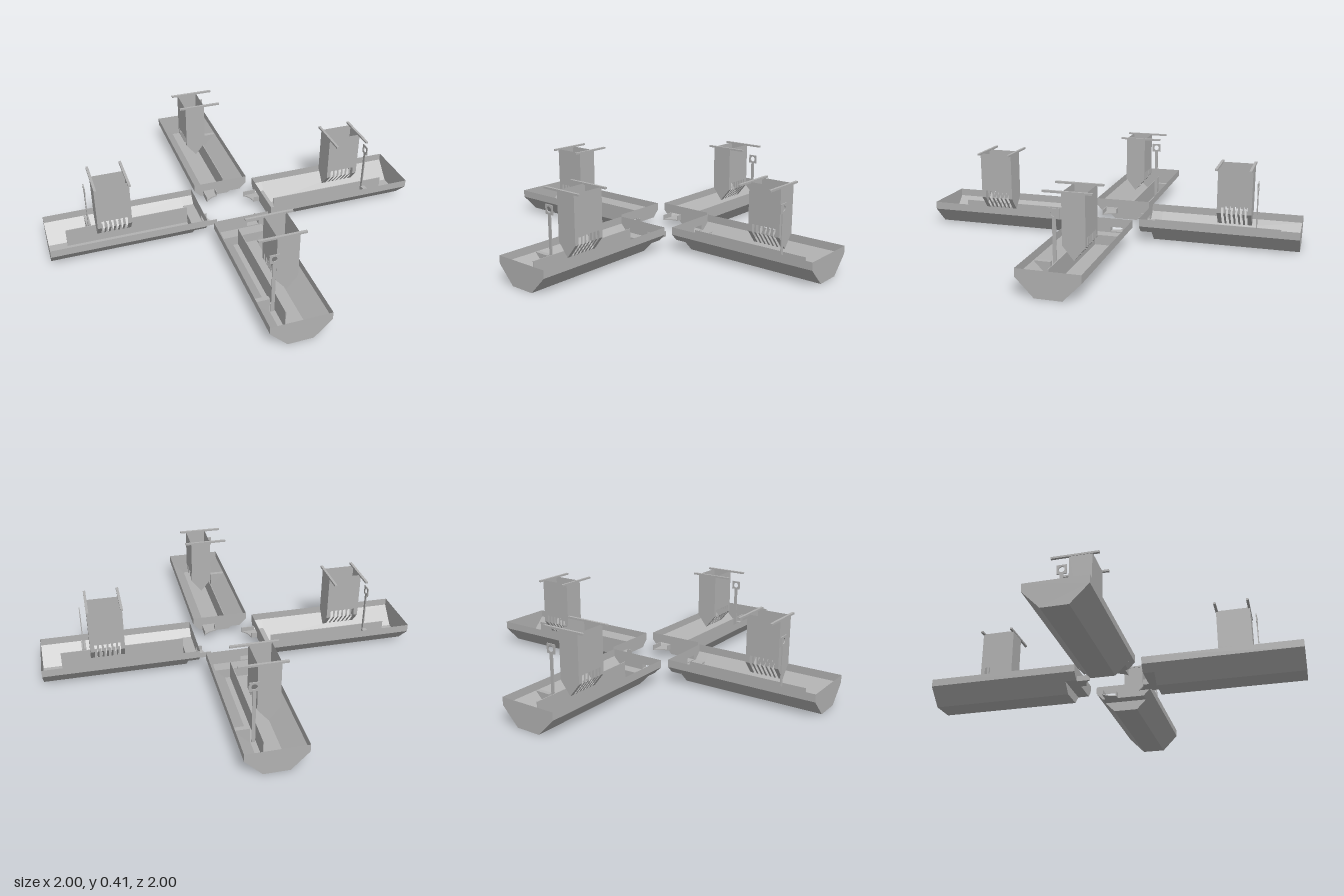
import * as THREE from 'three';

const steel = new THREE.MeshStandardMaterial({ color: 0xb2b2b2, side: THREE.DoubleSide });
steel.name = 'grey steel';

function add(parent, geometry, name, x = 0, y = 0, z = 0) {
  const mesh = new THREE.Mesh(geometry, steel);
  mesh.name = name;
  mesh.position.set(x, y, z);
  parent.add(mesh);
  return mesh;
}

// Folded sheet: an open x-y profile swept from z0 to z1
function sheet(profile, z0, z1) {
  const p = [];
  for (let i = 0; i < profile.length - 1; i++) {
    const [ax, ay] = profile[i], [bx, by] = profile[i + 1];
    p.push(ax, ay, z0, bx, by, z0, bx, by, z1, ax, ay, z0, bx, by, z1, ax, ay, z1);
  }
  const g = new THREE.BufferGeometry();
  g.setAttribute('position', new THREE.Float32BufferAttribute(p, 3));
  g.computeVertexNormals();
  return g;
}

function outline(points) {
  return new THREE.Shape(points.map(([x, y]) => new THREE.Vector2(x, y)));
}
const plate = (points) => new THREE.ShapeGeometry(outline(points));

const HULL = [[-0.153, 0.13], [-0.153, 0.09], [-0.065, 0], [0.065, 0], [0.153, 0.09], [0.153, 0.13]];
const RAISED = [[-0.153, 0.13], [-0.153, 0.09], [-0.117, 0.053], [0.117, 0.053], [0.153, 0.09], [0.153, 0.13]];

function trough() {
  const g = new THREE.Group();
  g.name = 'trough';
  add(g, sheet(HULL, 0.24, 1), 'hull');
  add(g, sheet(RAISED, 0.18, 0.24), 'raisedInnerFloor');
  add(g, plate(HULL), 'outerEndWall', 0, 0, 1);
  add(g, plate([[-0.117, 0.053], [-0.065, 0], [0.065, 0], [0.117, 0.053]]), 'floorStep', 0, 0, 0.24);

  // Inner end wall with an outlet opening
  const end = outline(RAISED);
  end.holes.push(new THREE.Path([[0.032, 0.057], [0.1, 0.057], [0.1, 0.083], [0.032, 0.083]]
    .map(([x, y]) => new THREE.Vector2(x, y))));
  add(g, new THREE.ShapeGeometry(end), 'innerEndWall', 0, 0, 0.18);

  // Long divider and the small gusset beside the marker
  add(g, new THREE.BoxGeometry(0.004, 0.1, 0.66), 'divider', -0.036, 0.05, 0.57);
  const gusset = new THREE.ExtrudeGeometry(
    outline([[-0.152, 0.09], [-0.07, 0.006], [-0.07, 0.09]]), { depth: 0.024, bevelEnabled: false });
  add(g, gusset, 'gusset', 0, 0, 0.762);
  return g;
}

function spout() {
  const g = new THREE.Group();
  g.name = 'spout';
  // Curved lip, drawn in x and -z then laid flat
  const s = new THREE.Shape();
  s.moveTo(0.03, -0.18);
  s.lineTo(0.1, -0.18);
  s.lineTo(0.1, -0.11);
  s.quadraticCurveTo(0.075, -0.145, 0.03, -0.148);
  const floor = add(g, new THREE.ExtrudeGeometry(s, { depth: 0.006, bevelEnabled: false }), 'spoutFloor', 0, 0.053, 0);
  floor.rotation.x = -Math.PI / 2;
  add(g, new THREE.BoxGeometry(0.004, 0.03, 0.07), 'spoutLongSide', 0.1, 0.068, 0.145);
  add(g, new THREE.BoxGeometry(0.004, 0.03, 0.032), 'spoutShortSide', 0.032, 0.068, 0.164);
  return g;
}

function basket() {
  const g = new THREE.Group();
  g.name = 'basket';
  const x0 = -0.027, x1 = 0.086, mid = 0.03, z0 = 0.565, z1 = 0.745;
  const bend = 0.16, apex = 0.09, slotTop = 0.2, top = 0.41;

  // Solid upper sides and pointed end plates
  for (const x of [x0, x1]) add(g, sheet([[x, slotTop], [x, top]], z0, z1), 'basketSide');
  for (const z of [z0, z1])
    add(g, plate([[x0, top], [x0, bend], [mid, apex], [x1, bend], [x1, top]]), 'basketEnd', 0, 0, z);

  // Folded bars leave slots down the sides and through the bottom
  const bars = 7, slot = 0.014, edge = 0.022;
  const inner = (z1 - z0 - 2 * edge - (bars - 1) * slot) / (bars - 2);
  let z = z0;
  for (let i = 0; i < bars; i++) {
    const w = i === 0 || i === bars - 1 ? edge : inner;
    add(g, sheet([[x0, slotTop], [x0, bend], [mid, apex], [x1, bend], [x1, slotTop]], z, z + w), 'basketBar');
    z += w + slot;
  }

  // Carrying rods along the rim
  for (const rz of [z0 + 0.004, z1 - 0.004])
    add(g, new THREE.BoxGeometry(0.24, 0.01, 0.013), 'carryingRod', 0, 0.41, rz);
  return g;
}

function marker() {
  const g = new THREE.Group();
  g.name = 'marker';
  add(g, new THREE.BoxGeometry(0.018, 0.295, 0.005), 'markerPost', -0.051, 0.1475, 0.776);
  const head = outline([[-0.025, -0.024], [0.025, -0.024], [0.025, 0.024], [-0.025, 0.024]]);
  const hole = new THREE.Path();
  hole.absarc(0, 0, 0.015, 0, Math.PI * 2, true);
  head.holes.push(hole);
  add(g, new THREE.ExtrudeGeometry(head, { depth: 0.005, bevelEnabled: false, curveSegments: 8 }),
    'markerHead', -0.051, 0.319, 0.7735);
  return g;
}

export function createModel() {
  const model = new THREE.Group();
  model.name = 'fourTroughs';
  // Four equal arms around the centre
  for (let i = 0; i < 4; i++) {
    const arm = new THREE.Group();
    arm.name = 'arm' + (i + 1);
    arm.add(trough(), spout(), basket(), marker());
    arm.rotation.y = i * Math.PI / 2;
    model.add(arm);
  }
  return model;
}
